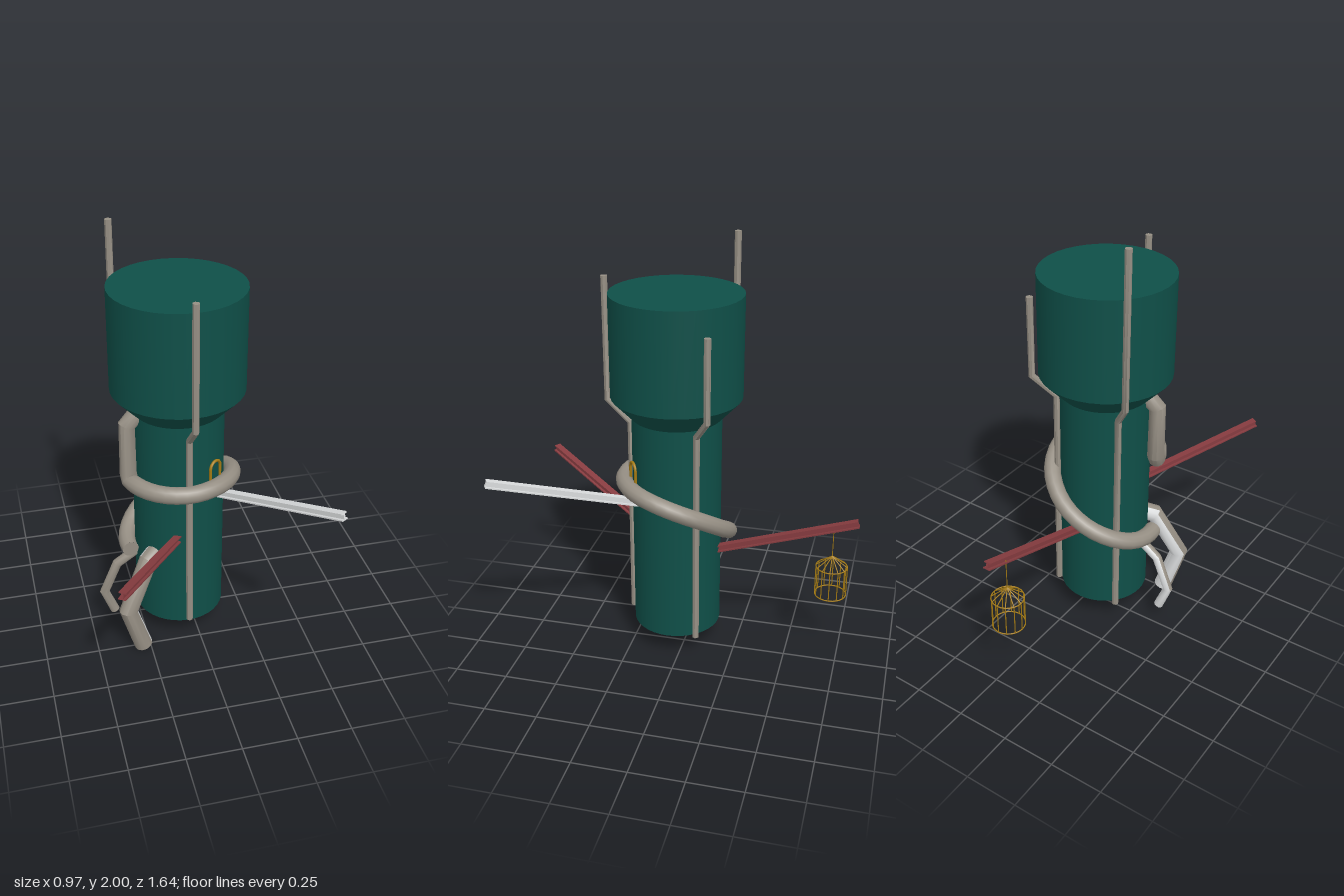
import * as THREE from 'three';
import { toCreasedNormals } from 'three/addons/utils/BufferGeometryUtils.js';

const CX = -0.06, CZ = 0.05; // tower axis
const V = (x, y, z) => new THREE.Vector3(x, y, z);
const polar = (deg, r, y) => {
  const a = THREE.MathUtils.degToRad(deg);
  return V(CX + r * Math.cos(a), y, CZ + r * Math.sin(a));
};

// Straight-segment path with one ring of a tube at every point
class Polyline extends THREE.Curve {
  constructor(points) { super(); this.points = points; }
  getPointAt(u) { return this.points[Math.round(u * (this.points.length - 1))].clone(); }
  getTangentAt(u) {
    const p = this.points, n = p.length - 1, i = Math.round(u * n), t = V(0, 0, 0);
    if (i > 0) t.add(p[i].clone().sub(p[i - 1]).normalize());
    if (i < n) t.add(p[i + 1].clone().sub(p[i]).normalize());
    return t.normalize();
  }
}

export function createModel() {
  const model = new THREE.Group();
  const mat = (name, color) => {
    const m = new THREE.MeshStandardMaterial({ color });
    m.name = name;
    return m;
  };
  const teal = mat('dark teal', 0x0f4f48);
  const steel = mat('warm grey', 0x968f84);
  const pale = mat('pale grey', 0xdadcdd);
  const red = mat('brick red', 0x873c40);
  const gold = mat('old gold', 0xa67c14);

  const add = (name, geo, material, parent = model) => {
    const mesh = new THREE.Mesh(geo, material);
    mesh.name = name;
    parent.add(mesh);
    return mesh;
  };
  const group = (name) => {
    const g = new THREE.Group();
    g.name = name;
    model.add(g);
    return g;
  };

  // Bent pipe with capped ends
  const pipe = (name, points, r, sides, material, capMaterial = material) => {
    const g = group(name);
    const path = new Polyline(points), n = points.length - 1;
    const tube = new THREE.TubeGeometry(path, n, r, sides, false);
    const mesh = add(name + 'Tube', toCreasedNormals(tube, 0.7), material, g);
    for (const u of [0, 1]) {
      const cap = add(name + 'Cap', new THREE.CircleGeometry(r, sides), capMaterial, g);
      const dir = path.getTangentAt(u).multiplyScalar(u ? 1 : -1);
      cap.position.copy(path.getPointAt(u));
      cap.quaternion.setFromUnitVectors(V(0, 0, 1), dir);
    }
    return mesh;
  };

  // Faces of a mesh turned towards dir get the second material
  const paintSide = (mesh, dir, second) => {
    const pos = mesh.geometry.attributes.position;
    const sets = [[], []];
    const tri = new THREE.Triangle(), normal = V(0, 0, 0);
    for (let i = 0; i < pos.count; i += 3) {
      tri.setFromAttributeAndIndices(pos, i, i + 1, i + 2).getNormal(normal);
      sets[normal.dot(dir) > 0 ? 1 : 0].push(i, i + 1, i + 2);
    }
    mesh.geometry.setIndex([...sets[0], ...sets[1]]);
    mesh.geometry.addGroup(0, sets[0].length, 0);
    mesh.geometry.addGroup(sets[0].length, sets[1].length, 1);
    mesh.material = [mesh.material, second];
  };

  // Straight bar between two points
  const bar = (name, a, b, r, material, parent) => {
    const m = add(name, new THREE.CylinderGeometry(r, r, a.distanceTo(b), 6), material, parent);
    m.position.copy(a).add(b).multiplyScalar(0.5);
    m.quaternion.setFromUnitVectors(V(0, 1, 0), b.clone().sub(a).normalize());
    return m;
  };

  // Tower: shaft, flared neck, wide tank
  const section = (name, rTop, rBottom, y0, y1, open) => {
    const geo = new THREE.CylinderGeometry(rTop, rBottom, y1 - y0, 36, 1, open);
    add(name, geo, teal).position.set(CX, (y0 + y1) / 2, CZ);
  };
  section('shaft', 0.21, 0.21, 0.12, 1.19, false);
  section('neck', 0.305, 0.21, 1.19, 1.29, true);
  section('tank', 0.305, 0.305, 1.29, 1.77, false);

  // Three thin pipes climbing the tower: angle, bottom, lower bend, upper bend, top
  for (const [deg, y0, y1, y2, y3] of [
    [90, 0.14, 1.135, 1.24, 1.825],
    [-37, 0.115, 1.165, 1.27, 1.655],
    [-138, 0.115, 1.155, 1.27, 2.0],
  ]) {
    const points = [[0.224, y0], [0.224, y1], [0.333, y2], [0.333, y3]].map(([r, y]) => polar(deg, r, y));
    pipe('climbingPipe', points, 0.016, 8, steel);
  }

  // Thick pipe: out of the neck, down, around the front and spiralling down the back
  const heights = [0.87, 0.87, 0.87, 0.87, 0.84, 0.765, 0.655, 0.555, 0.485, 0.47];
  const heightCurve = new THREE.SplineCurve(heights.map((y, i) => new THREE.Vector2(i, y)));
  const coil = [polar(168, 0.17, 1.23), polar(168, 0.25, 1.15), polar(168, 0.25, 0.9)];
  for (let i = 0; i <= 36; i++) {
    const t = i / 36;
    coil.push(polar(164 - 356 * t, 0.25, heightCurve.getPoint((0.3 + 8.4 * t) / 9).y));
  }
  pipe('coiledPipe', coil, 0.04, 12, steel);

  // Two outlet pipes at the foot of the coil
  const underside = V(0.3, -0.2, -1);
  const largeOutlet = pipe('largeOutlet', [
    V(-0.19, 0.5, 0.17), V(-0.245, 0.475, 0.215), V(-0.355, 0.25, 0.28), V(-0.285, 0.018, 0.26),
  ], 0.044, 12, steel, pale);
  const smallOutlet = pipe('smallOutlet', [
    V(-0.25, 0.44, 0.05), V(-0.365, 0.36, 0.05), V(-0.432, 0.2, 0.05), V(-0.385, 0.08, 0.05),
  ], 0.023, 12, steel, pale);
  paintSide(largeOutlet, underside, pale);
  paintSide(smallOutlet, underside, pale);

  // Three I-section beams
  const w = 0.017, t = 0.005, k = 0.011;
  const profile = new THREE.Shape([
    [-w, -w], [w, -w], [w, -k], [t, -k], [t, k], [w, k],
    [w, w], [-w, w], [-w, k], [-t, k], [-t, -k], [-w, -k],
  ].map(([x, y]) => new THREE.Vector2(x, y)));
  const beam = (name, a, b, material) => {
    const geo = new THREE.ExtrudeGeometry(profile, { depth: a.distanceTo(b), bevelEnabled: false });
    const m = add(name, geo, material);
    m.position.copy(a);
    m.lookAt(b);
  };
  beam('rightBeam', V(-0.11, 0.605, 0.25), V(-0.465, 0.778, 0.805), red);
  beam('leftBeam', V(0.09, 0.797, 0.2), V(0.468, 1.0, 0.785), pale);
  beam('backBeam', V(-0.045, 0.525, -0.15), V(-0.045, 0.74, -0.815), red);

  // Arched loop standing on the coil
  const arch = group('archLoop');
  arch.position.copy(polar(54, 0.22, 0.953));
  arch.rotation.y = THREE.MathUtils.degToRad(36);
  add('archTop', new THREE.TorusGeometry(0.033, 0.007, 8, 12, Math.PI), gold, arch);
  for (const s of [-1, 1]) bar('archLeg', V(s * 0.033, -0.08, 0), V(s * 0.033, 0, 0), 0.007, gold, arch);

  // Hanging cage under the back beam
  const cage = group('cage');
  cage.position.set(-0.055, 0, -0.703);
  const R = 0.074, N = 12, wire = 0.0025;
  for (const y of [0.347, 0.495]) {
    const ring = add('cageRing', new THREE.TorusGeometry(R, 0.003, 6, 24), gold, cage);
    ring.rotation.x = Math.PI / 2;
    ring.position.y = y;
  }
  for (let i = 0; i < N; i++) {
    const a = (i / N) * Math.PI * 2, x = R * Math.cos(a), z = R * Math.sin(a);
    bar('cageBar', V(x, 0.347, z), V(x, 0.495, z), wire, gold, cage);
    bar('cageRoofBar', V(x, 0.495, z), V(0, 0.55, 0), wire, gold, cage);
  }
  bar('cageWire', V(0, 0.545, 0), V(0, 0.7, 0), 0.002, gold, cage);

  return model;
}
